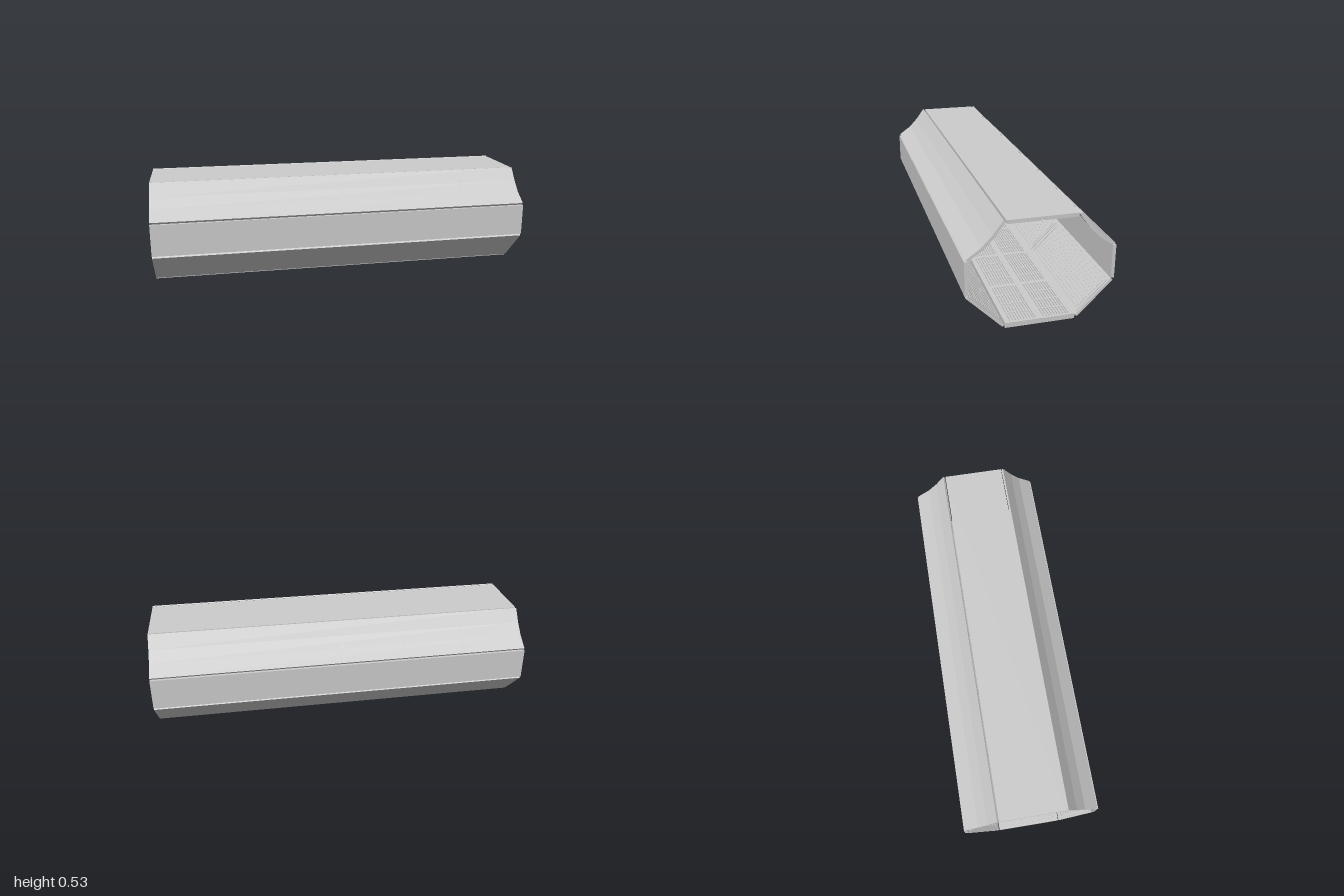
import * as THREE from 'three';
import { mergeGeometries } from 'three/addons/utils/BufferGeometryUtils.js';

const LENGTH = 2;

// Box given by centre and size
function box(x, y, z, sx, sy, sz, turn = 0) {
  return new THREE.BoxGeometry(sx, sy, sz).rotateY(turn).translate(x, y, z);
}

// Extrudes a [z, y] outline along x
function extrude(outline, x, length) {
  const shape = new THREE.Shape(outline.map(([z, y]) => new THREE.Vector2(-z, y)));
  return new THREE.ExtrudeGeometry(shape, { depth: length, bevelEnabled: false })
    .rotateY(Math.PI / 2).translate(x, 0, 0).toNonIndexed?.() ?? null;
}

// Moves flat panel pieces (y = into the corridor) onto the line a -> b, given as [z, y]
function lay(pieces, a, b) {
  const turn = Math.atan2(a[1] - b[1], b[0] - a[0]);
  return pieces.map((g) => g.rotateX(turn)
    .translate(0, (a[1] + b[1]) / 2, (a[0] + b[0]) / 2));
}

// Rectangular frame of four bars
function frame(x, y, z, w, h, d, bar) {
  return [
    box(x, y, z - (d - bar) / 2, w, h, bar), box(x, y, z + (d - bar) / 2, w, h, bar),
    box(x - (w - bar) / 2, y, z, bar, h, d - 2 * bar), box(x + (w - bar) / 2, y, z, bar, h, d - 2 * bar),
  ];
}

export function createModel() {
  const model = new THREE.Group();
  const grey = new THREE.MeshStandardMaterial({ color: 0xcccccc });
  grey.name = 'panelGrey';

  const add = (parent, name, pieces) => {
    const plain = pieces.map((g) => (g.index ? g.toNonIndexed() : g));
    const mesh = new THREE.Mesh(mergeGeometries(plain), grey);
    mesh.name = name;
    parent.add(mesh);
  };

  // Floor: slab with two rows of framed grating
  const floor = [box(0, 0.009, 0, LENGTH, 0.018, 0.332), box(0, 0.021, 0, LENGTH, 0.008, 0.014)];
  for (const s of [-1, 1]) {
    floor.push(box(0, 0.021, s * 0.159, LENGTH, 0.008, 0.014));
    for (let i = 0; i < 6; i++) {
      const x = -1 + (i + 0.5) / 3;
      floor.push(...frame(x, 0.021, s * 0.08, 1 / 3, 0.007, 0.146, 0.012));
      for (let k = 0; k < 9; k++) floor.push(box(x, 0.021, s * 0.08 + (k - 4) * 0.0135, 0.31, 0.006, 0.007));
      for (let k = -1; k <= 1; k++) floor.push(box(x + k * 0.08, 0.0205, s * 0.08, 0.007, 0.006, 0.13));
    }
  }
  add(model, 'floor', floor);

  // Ceiling: thin plate with two rows of cross-braced lattice
  add(model, 'ceilingPlate', [box(0, 0.523, 0, LENGTH, 0.008, 0.332)]);
  const lattice = [];
  for (const s of [-1, 1]) {
    for (let i = 0; i < 12; i++) {
      const x = -1 + (i + 0.5) / 6;
      lattice.push(...frame(x, 0.514, s * 0.084, 1 / 6, 0.01, 0.158, 0.008));
      for (const t of [-1, 1]) {
        lattice.push(box(x, 0.5145, s * 0.084, 0.205, 0.008, 0.01, t * Math.PI / 4));
      }
    }
  }
  add(model, 'ceilingLattice', lattice);

  // Outer and inner lines of the bent upper panel, bottom to top
  const outer = [[0.345, 0.362], [0.276, 0.411], [0.227, 0.463], [0.178, 0.529]];
  const inner = [[0.336, 0.351], [0.268, 0.4], [0.216, 0.452], [0.169, 0.52]];
  const middle = inner.map(([z, y], i) => [(z + outer[i][0]) / 2, (y + outer[i][1]) / 2]);

  // The second side is the first turned about the vertical axis
  for (const [name, turn] of [['frontSide', 0], ['backSide', Math.PI]]) {
    const side = new THREE.Group();
    side.name = name;
    side.rotation.y = turn;
    model.add(side);

    // Plain upright wall
    add(side, 'wall', [box(0, 0.2685, 0.343, LENGTH, 0.165, 0.016)]);

    // Lower sloping panel
    const a = [0.169, 0.017], b = [0.336, 0.184];
    add(side, 'lowerPanel', lay([box(0, -0.0065, 0, LENGTH, 0.013, 0.236)], a, b));

    // Raised frames with lengthwise slats
    const slats = [];
    for (let i = -1; i <= 1; i++) {
      slats.push(...frame(i * 2 / 3, 0.0025, 0, 0.65, 0.005, 0.203, 0.012));
      for (let k = 0; k < 10; k++) slats.push(box(i * 2 / 3, 0.002, (k - 4.5) * 0.0175, 0.61, 0.004, 0.011));
    }
    add(side, 'lowerSlats', lay(slats, a, b));

    // Bent upper panel: outer skin and full-depth cross ribs
    const skin = [extrude([...outer, ...middle.slice().reverse()], -1, LENGTH)];
    for (let i = 0; i <= 6; i++) {
      const start = Math.max(-1, -1 + i / 3 - 0.012), end = Math.min(1, -1 + i / 3 + 0.012);
      skin.push(extrude([...outer, ...inner.slice().reverse()], start, end - start));
    }
    add(side, 'upperPanel', skin);

    // Staggered brick tiles between the ribs, with a rail along each long edge
    const tiles = [];
    for (let f = 0; f < 3; f++) {
      const p = inner[f], q = inner[f + 1];
      const width = Math.hypot(q[0] - p[0], q[1] - p[1]);
      const rail = 0.014;
      const low = -width / 2 + (f === 0 ? rail : 0), high = width / 2 - (f === 2 ? rail : 0);
      const row = (high - low) / 2;
      const pieces = [];
      if (f === 0) pieces.push(box(0, -0.0035, -(width - rail) / 2, LENGTH, 0.007, rail));
      if (f === 2) pieces.push(box(0, -0.0035, (width - rail) / 2, LENGTH, 0.007, rail));
      for (let i = 0; i < 6; i++) {
        const left = -1 + i / 3 + 0.016, span = 1 / 3 - 0.032, step = span / 5;
        for (let r = 0; r < 2; r++) {
          for (let k = 0; k <= 5; k++) {
            const x0 = Math.max(left, left + (k - r * 0.5) * step);
            const x1 = Math.min(left + span, left + (k + 1 - r * 0.5) * step);
            if (x1 - x0 < 0.01) continue;
            pieces.push(box((x0 + x1) / 2, -0.004, low + (r + 0.5) * row, x1 - x0 - 0.007, 0.006, row - 0.007));
          }
        }
      }
      tiles.push(...lay(pieces, p, q));
    }
    add(side, 'upperTiles', tiles);
  }

  return model;
}
